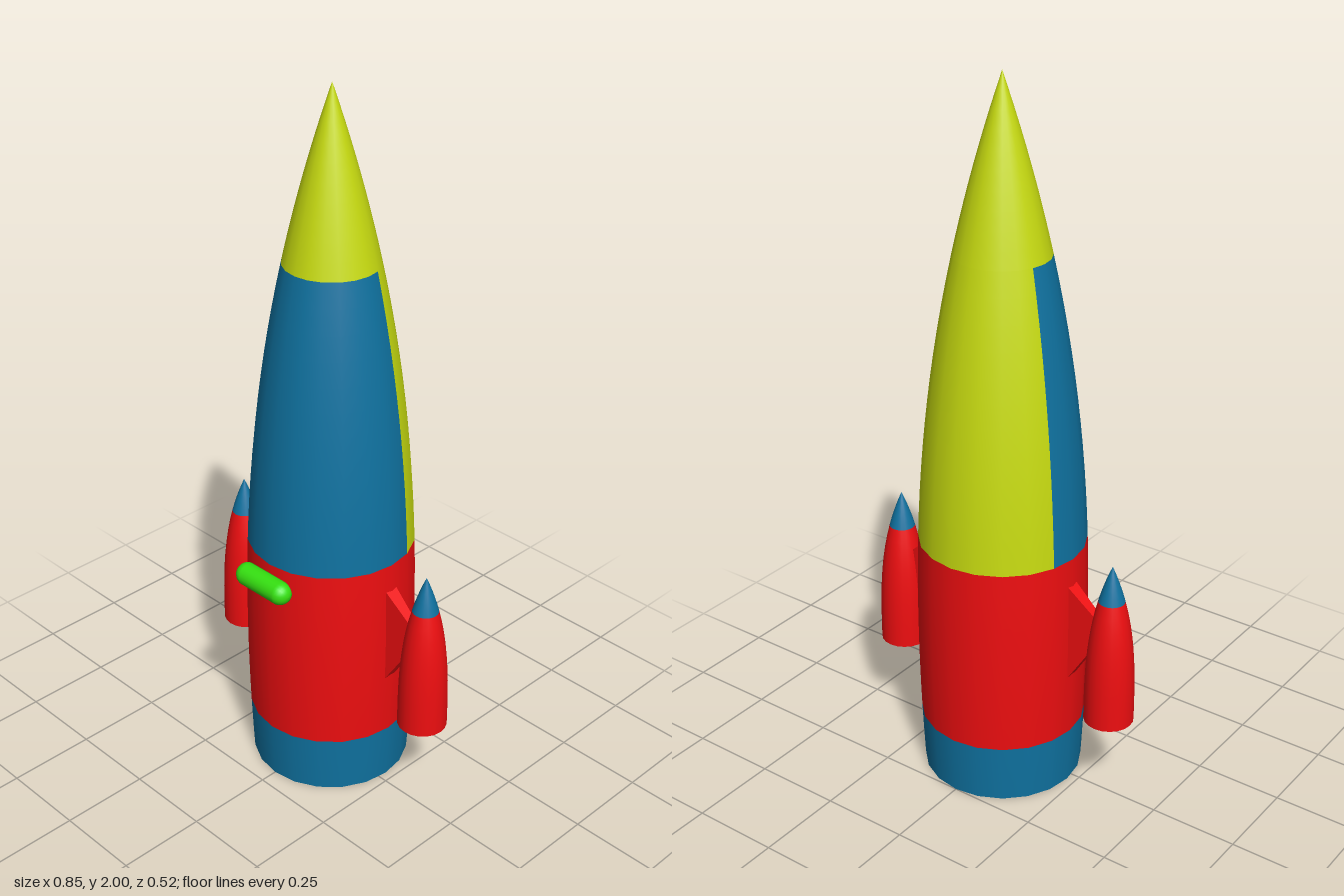
import * as THREE from 'three';

const SIDES = 20;
const Z = -0.025; // axis of the hull
const mat = (color) => new THREE.MeshStandardMaterial({ color });
const red = mat(0xee0e10), blue = mat(0x0f72a0), yellow = mat(0xc8dc10), green = mat(0x35e010);

// hull and pod radius at a height
const hullRadius = (y) => y < 0.45
  ? 0.237 - 0.012 * ((0.45 - y) / 0.45) ** 2
  : 0.237 * (1 - ((y - 0.45) / 1.55) ** 2.2);
const podRadius = (y) => 0.069 * (1 - Math.max(0, (y - 0.265) / 0.475) ** 3);

function add(parent, name, geometry, material) {
  const mesh = new THREE.Mesh(geometry, material);
  mesh.name = name;
  parent.add(mesh);
  return mesh;
}

// turned shell between two heights, optionally only part of the circle
function shell(radius, y0, y1, steps, first = 0, count = SIDES) {
  const points = [];
  for (let i = 0; i <= steps; i++) {
    const y = y0 + (y1 - y0) * i / steps;
    points.push(new THREE.Vector2(Math.max(0, radius(y)), y));
  }
  const step = Math.PI * 2 / SIDES;
  return new THREE.LatheGeometry(points, count, first * step, count * step);
}

// flat exhaust ring with a recessed bore, each surface sharp-edged
function exhaust(parent, y, outer, bore, depth) {
  const group = new THREE.Group();
  group.name = 'exhaust';
  const corners = [[0, y + depth], [bore, y + depth], [bore, y], [outer, y]]
    .map(([r, h]) => new THREE.Vector2(r, h));
  ['exhaustEnd', 'exhaustBore', 'exhaustRing'].forEach((name, i) =>
    add(group, name, new THREE.LatheGeometry([corners[i], corners[i + 1]], SIDES), yellow));
  parent.add(group);
}

// strut tapering in height and thickness from hull to pod
function strutGeometry() {
  const geo = new THREE.BoxGeometry(1, 1, 1);
  const p = geo.attributes.position;
  for (let i = 0; i < p.count; i++) {
    const outer = p.getX(i) > 0, top = p.getY(i) > 0;
    const y = outer ? (top ? 0.575 : 0.475) : (top ? 0.655 : 0.325);
    p.setXYZ(i, outer ? 0.31 : 0.215, y, p.getZ(i) * (outer ? 0.026 : 0.042));
  }
  const flat = geo.toNonIndexed();
  flat.computeVertexNormals();
  return flat;
}

export function createModel() {
  const model = new THREE.Group();
  model.name = 'rocket';

  // hull
  const hull = new THREE.Group();
  hull.name = 'hull';
  hull.position.z = Z;
  model.add(hull);
  add(hull, 'baseBand', shell(hullRadius, 0, 0.17, 3), blue);
  add(hull, 'middleBand', shell(hullRadius, 0.17, 0.72, 8), red);
  add(hull, 'frontPanel', shell(hullRadius, 0.72, 1.53, 12, -6, 12), blue);
  add(hull, 'backPanel', shell(hullRadius, 0.72, 1.53, 12, 6, 8), yellow);
  add(hull, 'noseCone', shell(hullRadius, 1.53, 2, 10), yellow);
  exhaust(hull, 0, hullRadius(0), 0.11, 0.16);

  // side pods on their struts
  for (const side of [1, -1]) {
    const name = side > 0 ? 'left' : 'right';
    const pod = new THREE.Group();
    pod.name = name + 'Pod';
    pod.position.set(side * 0.358, 0, Z);
    add(pod, 'podBody', shell(podRadius, 0.265, 0.635, 10), red);
    add(pod, 'podTip', shell(podRadius, 0.635, 0.74, 5), blue);
    exhaust(pod, 0.265, podRadius(0.265), 0.034, 0.05);
    model.add(pod);

    const strut = add(model, name + 'Strut', strutGeometry(), red);
    strut.position.z = Z;
    if (side < 0) strut.rotation.y = Math.PI;
  }

  // front handle: a capsule flattened at the back
  const geo = new THREE.CapsuleGeometry(0.033, 0.126, 8, 20);
  geo.rotateZ(Math.PI / 2);
  const p = geo.attributes.position;
  for (let i = 0; i < p.count; i++) p.setZ(i, Math.max(p.getZ(i), -0.018));
  geo.computeVertexNormals();
  add(model, 'handle', geo, green).position.set(0, 0.67, 0.229);

  return model;
}
